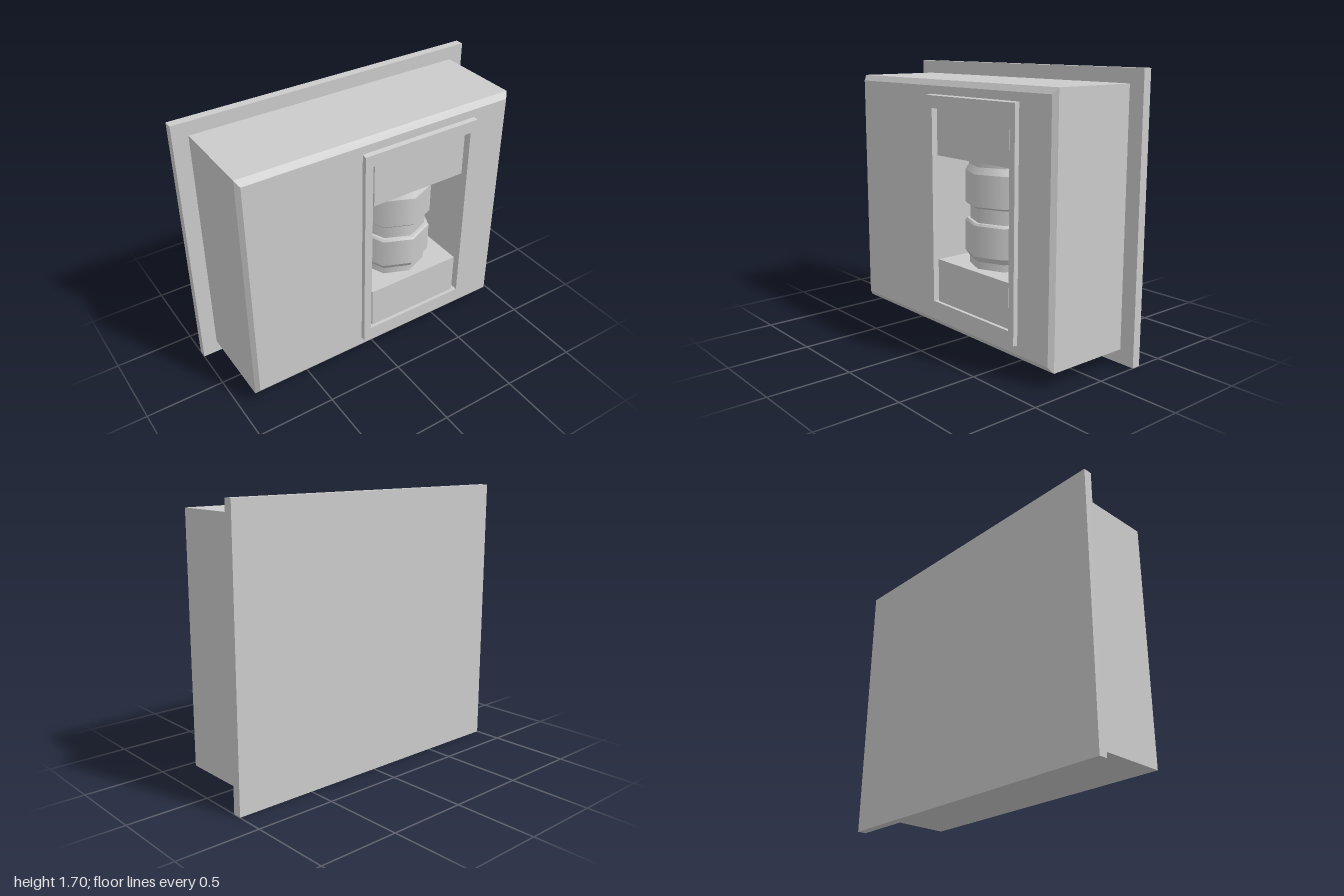
import * as THREE from 'three';

const material = new THREE.MeshStandardMaterial({ color: 0xcccccc });

function add(group, name, geometry, x = 0, y = 0, z = 0) {
  const mesh = new THREE.Mesh(geometry, material);
  mesh.name = name;
  mesh.position.set(x, y, z);
  group.add(mesh);
}

// Flat-faced loft through rectangles [x0, x1, y0, y1, z], optionally closed at the last one
function loftRects(rects, cap = false) {
  const positions = [];
  const corners = ([x0, x1, y0, y1, z]) => [[x0, y0, z], [x1, y0, z], [x1, y1, z], [x0, y1, z]];
  const quad = (a, b, c, d) => positions.push(...a, ...b, ...c, ...a, ...c, ...d);
  for (let r = 0; r < rects.length - 1; r++) {
    const a = corners(rects[r]), b = corners(rects[r + 1]);
    for (let i = 0; i < 4; i++) {
      const j = (i + 1) % 4;
      quad(a[i], a[j], b[j], b[i]);
    }
  }
  if (cap) quad(...corners(rects[rects.length - 1]));
  const geometry = new THREE.BufferGeometry();
  geometry.setAttribute('position', new THREE.Float32BufferAttribute(positions, 3));
  geometry.computeVertexNormals();
  return geometry;
}

export function createModel() {
  const model = new THREE.Group();
  model.name = 'wallUnit';

  // Wall plate
  add(model, 'backPlate', new THREE.BoxGeometry(2, 1.7, 0.055), 0, 0.85, -0.299);

  // Housing with a chamfered front edge, open where the window sits
  const opening = [-0.095, 0.595, 0.255, 1.45];
  add(model, 'housing', loftRects([
    [-0.903, 0.903, 0.087, 1.615, -0.272],
    [-0.903, 0.903, 0.087, 1.615, 0.27],
    [-0.88, 0.88, 0.122, 1.58, 0.297],
    [...opening, 0.297],
  ]));

  // Raised frame around the window
  add(model, 'windowFrame', loftRects([
    [-0.147, 0.638, 0.173, 1.53, 0.297],
    [-0.147, 0.638, 0.178, 1.525, 0.327],
    [...opening, 0.327],
    [...opening, 0.297],
  ]));

  // Slightly tapering recess behind the window
  add(model, 'recess', loftRects([
    [...opening, 0.297],
    [-0.072, 0.57, 0.278, 1.427, -0.22],
  ], true));

  // Blocks holding the insulator at both ends
  for (const [name, y0, y1] of [['lowerBlock', 0.255, 0.524], ['upperBlock', 1.168, 1.45]]) {
    add(model, name, new THREE.BoxGeometry(0.642, y1 - y0, 0.525), 0.249, (y0 + y1) / 2, 0.043);
  }

  // Eight-sided insulator: two wide collars on a narrower core
  const profile = [
    [0.22, 0.52], [0.22, 0.567], [0.245, 0.602], [0.245, 0.787], [0.235, 0.8], [0.216, 0.8],
    [0.216, 0.885], [0.235, 0.89], [0.245, 0.9], [0.245, 1.09], [0.222, 1.13], [0.222, 1.155], [0.235, 1.168],
  ];
  const insulator = new THREE.Group();
  insulator.name = 'insulator';
  insulator.position.set(0.246, 0, 0.035);
  for (let i = 0; i < profile.length - 1; i++) {
    const [r0, y0] = profile[i], [r1, y1] = profile[i + 1];
    const band = y1 > y0
      ? new THREE.CylinderGeometry(r1, r0, y1 - y0, 8, 1, true)
      : new THREE.RingGeometry(r1, r0, 8).rotateX(-Math.PI / 2);
    add(insulator, 'insulatorBand', band, 0, (y0 + y1) / 2, 0);
  }
  model.add(insulator);

  return model;
}
